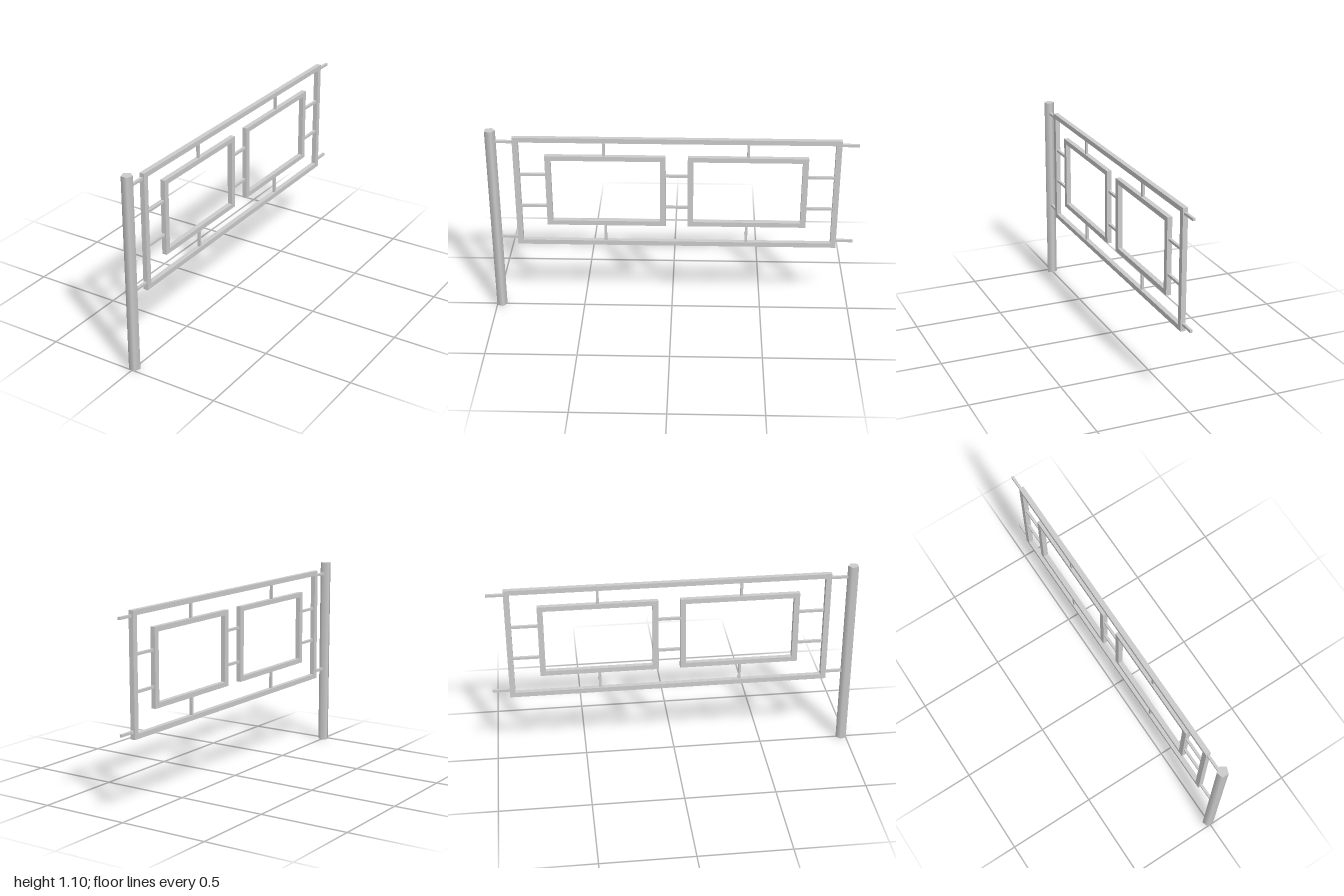
import * as THREE from 'three';

const material = new THREE.MeshStandardMaterial({ color: 0xcccccc });

function addMesh(group, name, geometry) {
  const mesh = new THREE.Mesh(geometry, material);
  mesh.name = name;
  group.add(mesh);
  return mesh;
}

function rectangle(target, z0, z1, y0, y1) {
  target.moveTo(z0, y0);
  target.lineTo(z1, y0);
  target.lineTo(z1, y1);
  target.lineTo(z0, y1);
  target.closePath();
  return target;
}

// Rectangular frame in the zy plane, centred on x = 0
function addFrame(group, name, z0, z1, y0, y1, depth) {
  const side = 0.031, rail = 0.027;
  const shape = rectangle(new THREE.Shape(), z0, z1, y0, y1);
  shape.holes.push(rectangle(new THREE.Path(), z0 + side, z1 - side, y0 + rail, y1 - rail));
  const geometry = new THREE.ExtrudeGeometry(shape, { depth, bevelEnabled: false });
  geometry.translate(0, 0, -depth / 2);
  geometry.rotateY(-Math.PI / 2);
  addMesh(group, name, geometry);
}

// Thin square connecting bar spanning the given z and y ranges
function addBar(group, name, z0, z1, y0, y1) {
  const bar = addMesh(group, name, new THREE.BoxGeometry(0.014, y1 - y0, z1 - z0));
  bar.position.set(0, (y0 + y1) / 2, (z0 + z1) / 2);
}

export function createModel() {
  const group = new THREE.Group();
  group.name = 'railing';

  // Five-sided post with softly shaded sides
  const post = addMesh(group, 'post',
    new THREE.CylinderGeometry(0.031, 0.031, 1.097, 5, 1, false, Math.PI));
  post.position.set(0, 1.097 / 2, 0.975);

  // Outer frame and the two inner frames
  const outer = { z0: -0.907, z1: 0.857, y0: 0.407, y1: 1.06 };
  const inner = { y0: 0.532, y1: 0.953 };
  addFrame(group, 'outerFrame', outer.z0, outer.z1, outer.y0, outer.y1, 0.027);
  addFrame(group, 'frontInnerFrame', 0.034, 0.687, inner.y0, inner.y1, 0.027);
  addFrame(group, 'backInnerFrame', -0.735, -0.085, inner.y0, inner.y1, 0.027);

  const half = 0.007;

  // Bars joining the outer frame to the post and to the next panel
  for (const y of [0.447, 1.032]) {
    addBar(group, 'postBar', outer.z1, 0.955, y - half, y + half);
    addBar(group, 'endBar', -1, outer.z0, y - half, y + half);
  }

  // Horizontal bars between the frames
  for (const y of [0.645, 0.836]) {
    addBar(group, 'horizontalBar', 0.687, outer.z1 - 0.031, y - half, y + half);
    addBar(group, 'horizontalBar', -0.085, 0.034, y - half, y + half);
    addBar(group, 'horizontalBar', outer.z0 + 0.031, -0.735, y - half, y + half);
  }

  // Short upright bars above and below each inner frame
  for (const z of [0.367, -0.41]) {
    addBar(group, 'uprightBar', z - half, z + half, inner.y1, outer.y1 - 0.027);
    addBar(group, 'uprightBar', z - half, z + half, outer.y0 + 0.027, inner.y0);
  }

  return group;
}
